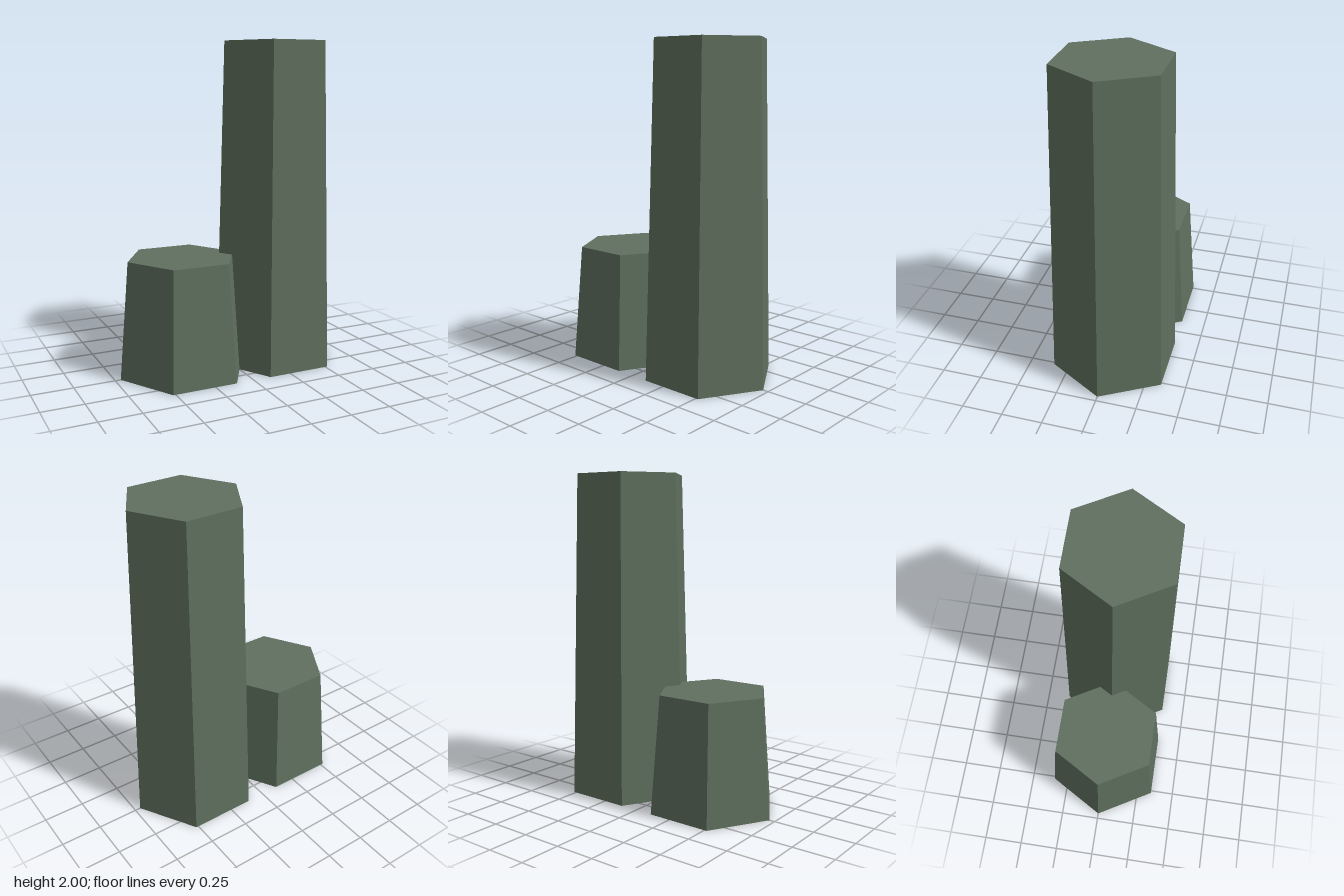
import * as THREE from 'three';

const TOP_RADIUS = 0.344;
const BASE_RADIUS = 0.402;

// Tapered six-sided stone column standing on the ground, corners pointing along x
function column(name, x, height, material) {
  const geometry = new THREE.CylinderGeometry(TOP_RADIUS, BASE_RADIUS, height, 6, 1, false, Math.PI / 2);
  const mesh = new THREE.Mesh(geometry, material);
  mesh.name = name;
  mesh.position.set(x, height / 2, 0);
  return mesh;
}

export function createModel() {
  const stone = new THREE.MeshStandardMaterial({ color: 0x5f705e });
  stone.name = 'mossy stone';
  stone.flatShading = true;

  const group = new THREE.Group();
  group.name = 'stoneColumns';
  group.add(column('tallColumn', 0.314, 2, stone));
  group.add(column('shortColumn', -0.314, 0.715, stone));
  return group;
}
